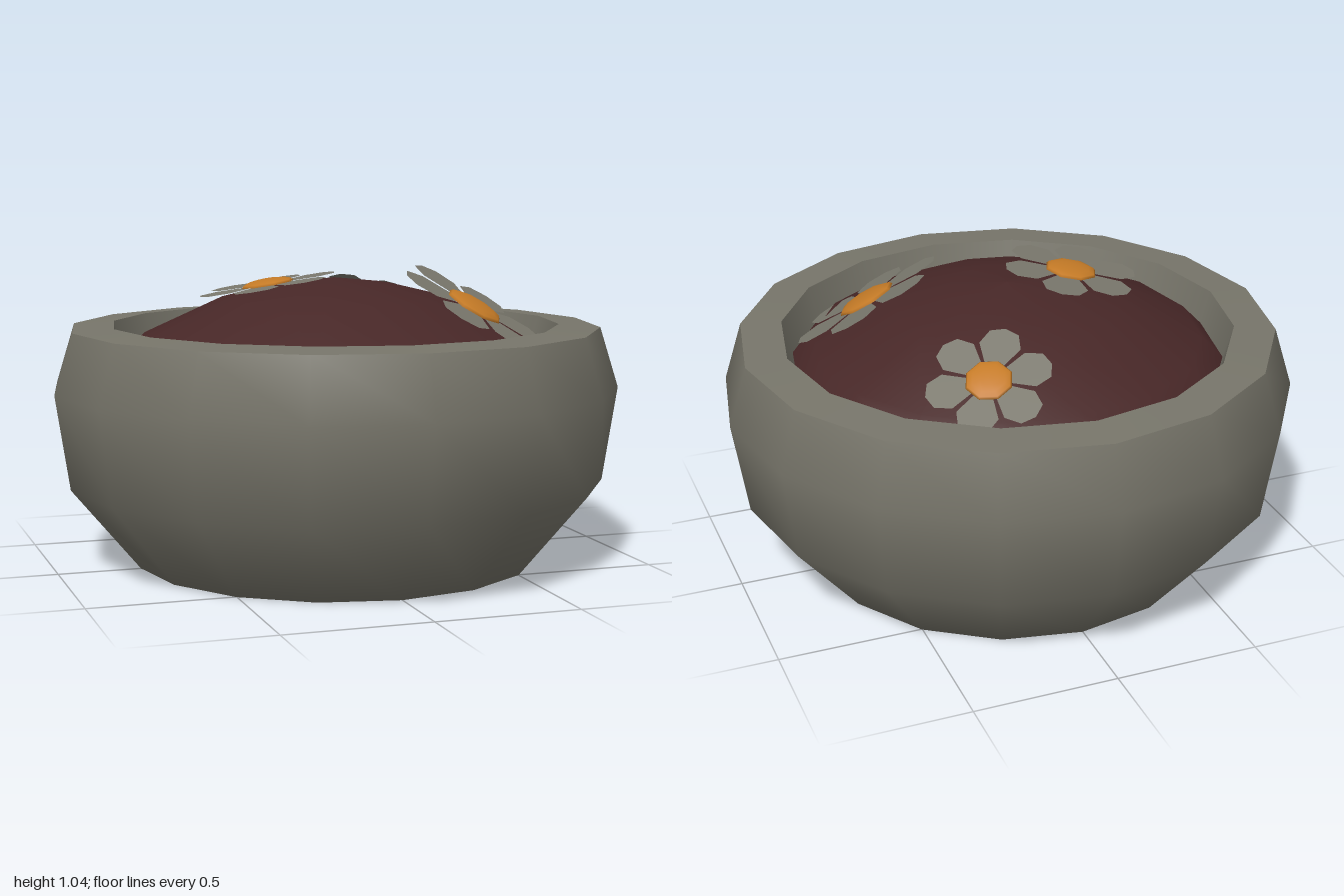
import * as THREE from 'three';

const SIDES = 16;

// Turns [radius, height] pairs, listed from the underside outward and up, into a round surface
function turned(name, profile, material) {
  const points = profile.map(([r, y]) => new THREE.Vector2(r, y));
  const mesh = new THREE.Mesh(new THREE.LatheGeometry(points, SIDES), material);
  mesh.name = name;
  return mesh;
}

// One petal of unit length, pointing along +x
function petalGeometry() {
  const half = [[0.25, 0.12], [0.66, 0.33], [0.92, 0.23]];
  const outline = [
    ...half.map(([x, y]) => new THREE.Vector2(x, -y)),
    new THREE.Vector2(1, 0),
    ...half.map(([x, y]) => new THREE.Vector2(x, y)).reverse(),
  ];
  return new THREE.ShapeGeometry(new THREE.Shape(outline)).rotateX(-Math.PI / 2);
}

export function createModel() {
  const stone = new THREE.MeshStandardMaterial({ color: 0x77756a });
  stone.name = 'stone grey';
  const soil = new THREE.MeshStandardMaterial({ color: 0x472727 });
  soil.name = 'dark brown';
  const petalColour = new THREE.MeshStandardMaterial({ color: 0x7a786d, side: THREE.DoubleSide });
  petalColour.name = 'petal grey';
  const orange = new THREE.MeshStandardMaterial({ color: 0xc47a26 });
  orange.name = 'flower orange';

  const model = new THREE.Group();
  model.name = 'flowerBowl';

  // Bowl: smooth outside, crisp flat rim, sloping inside
  model.add(turned('bowlOutside',
    [[0, 0], [0.71, 0], [0.95, 0.29], [1, 0.62], [0.935, 0.83]], stone));
  model.add(turned('bowlRim', [[0.935, 0.83], [0.79, 0.84]], stone));
  model.add(turned('bowlInside', [[0.79, 0.84], [0.75, 0.7]], stone));

  // Domed filling
  model.add(turned('filling',
    [[0.757, 0.72], [0.68, 0.8], [0.4, 0.93], [0.2, 0.978], [0, 1]], soil));

  // Six-petalled flowers resting on the dome
  const petal = petalGeometry();
  const heart = new THREE.SphereGeometry(0.38, 8, 4, 0, Math.PI * 2, 0, Math.PI / 2).scale(1, 0.22, 1);
  const up = new THREE.Vector3(0, 1, 0);
  const flowers = [
    { at: [-0.26, 0.985, 0.05], normal: [-0.16, 1, -0.04], size: 0.246, turn: 0 },
    { at: [0.435, 0.903, 0.24], normal: [0.48, 1, 0.35], size: 0.285, turn: 0 },
    { at: [0.25, 0.885, -0.485], normal: [0.27, 1, -0.48], size: 0.212, turn: -0.12 },
  ];
  for (const { at, normal, size, turn } of flowers) {
    const flower = new THREE.Group();
    flower.name = 'flower';
    for (let i = 0; i < 6; i++) {
      const mesh = new THREE.Mesh(petal, petalColour);
      mesh.name = 'petal';
      mesh.rotation.y = turn + (i * Math.PI) / 3;
      flower.add(mesh);
    }
    const centre = new THREE.Mesh(heart, orange);
    centre.name = 'flowerCentre';
    flower.add(centre);
    flower.position.set(...at);
    flower.quaternion.setFromUnitVectors(up, new THREE.Vector3(...normal).normalize());
    flower.scale.setScalar(size);
    model.add(flower);
  }
  return model;
}
